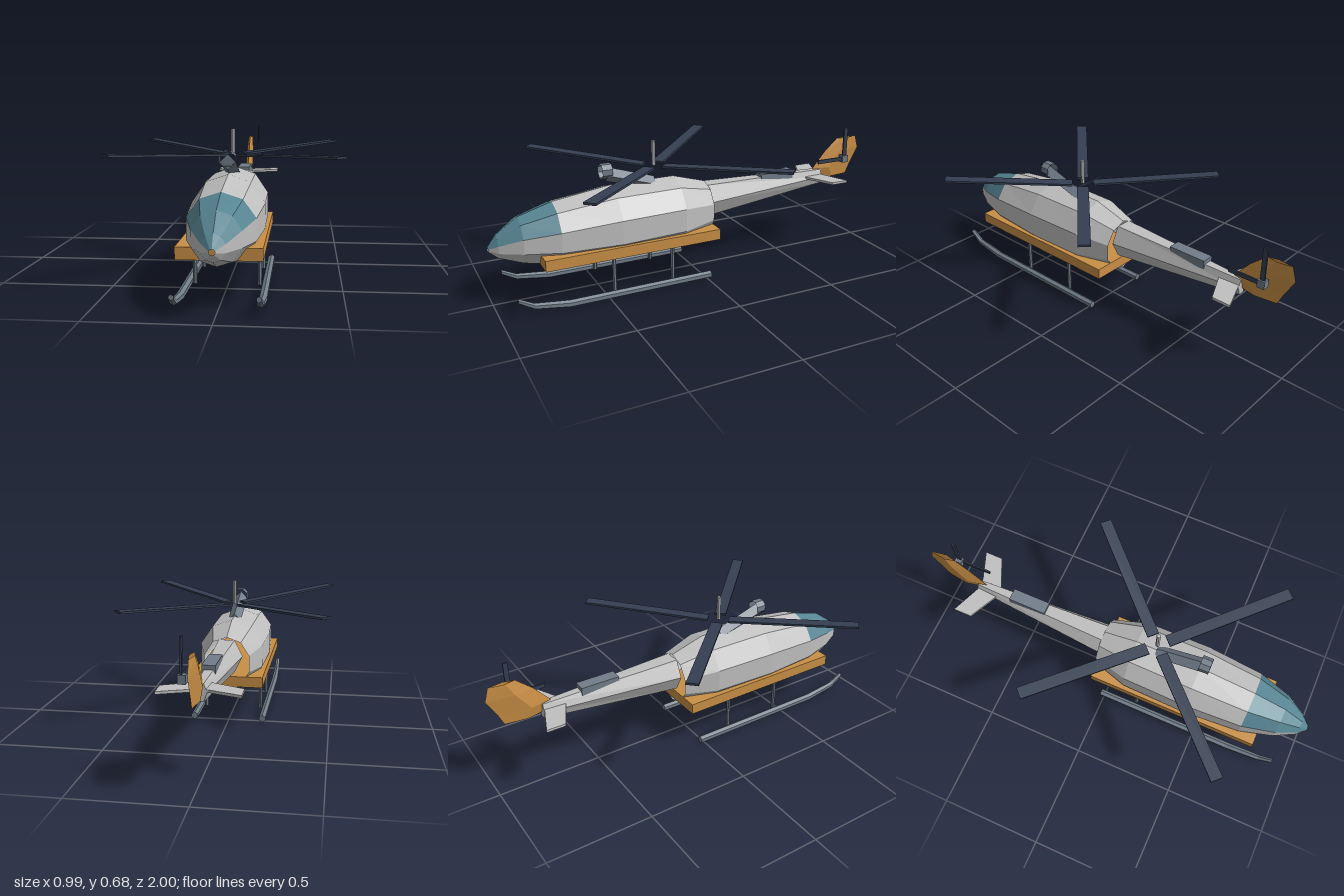
import * as THREE from 'three';

const mat = (name, color, side = THREE.DoubleSide) => {
  const m = new THREE.MeshStandardMaterial({ color, side, flatShading: true });
  m.name = name;
  return m;
};

// Flat-shaded skin over rings of [x, y, z]; pick(i, j) chooses the faces kept.
function loft(rings, { pick = () => true, capEnd = false } = {}) {
  const pos = [];
  const n = rings[0].length;
  for (let i = 0; i < rings.length - 1; i++) {
    for (let j = 0; j < n; j++) {
      if (!pick(i, j)) continue;
      const k = (j + 1) % n;
      const [a, b, c, d] = [rings[i][j], rings[i][k], rings[i + 1][k], rings[i + 1][j]];
      pos.push(...a, ...b, ...c, ...a, ...c, ...d);
    }
  }
  if (capEnd) {
    const r = rings[rings.length - 1];
    for (let j = 1; j < n - 1; j++) pos.push(...r[0], ...r[j], ...r[j + 1]);
  }
  const g = new THREE.BufferGeometry();
  g.setAttribute('position', new THREE.Float32BufferAttribute(pos, 3));
  g.computeVertexNormals();
  return g;
}

// Elliptical ring in the xy plane, first point at angle "start" from the top.
function ring(n, x, y, z, rx, ry, start = 0) {
  return Array.from({ length: n }, (_, j) => {
    const a = start + (j * 2 * Math.PI) / n;
    return [x + Math.sin(a) * rx, y + Math.cos(a) * ry, z];
  });
}

export function createModel() {
  const body = mat('light grey', 0xc0c0c0);
  const glass = mat('teal glass', 0x578593);
  const orange = mat('orange', 0xc98f45);
  const metal = mat('blue grey metal', 0x717d8a);
  const dark = mat('dark navy', 0x343f52);

  const model = new THREE.Group();
  model.name = 'helicopter';
  const add = (name, geometry, material, parent = model) => {
    const m = new THREE.Mesh(geometry, material);
    m.name = name;
    parent.add(m);
    return m;
  };
  const box = (name, w, h, d, x, y, z, material, parent) => {
    const m = add(name, new THREE.BoxGeometry(w, h, d), material, parent);
    m.position.set(x, y, z);
    return m;
  };

  // Ten-sided hull, open at both ends: [z, top, bottom, half width]
  const hull = [
    [1.0, 0.285, 0.262, 0.012], [0.96, 0.335, 0.225, 0.05], [0.86, 0.405, 0.185, 0.105],
    [0.7, 0.452, 0.15, 0.15], [0.42, 0.49, 0.125, 0.17], [0.1, 0.49, 0.135, 0.165],
    [-0.07, 0.44, 0.18, 0.115],
  ].map(([z, t, b, w]) => ring(10, 0, (t + b) / 2, z, w, (t - b) / 2));
  const isGlass = (i, j) => i < 3 && (j < 2 || j > 7);
  add('fuselage', loft(hull, { pick: (i, j) => !isGlass(i, j) }), body);
  add('canopy', loft(hull, { pick: isGlass }), glass);

  // Slab through the hull that forms both side sponsons
  box('sponsons', 0.35, 0.052, 0.86, 0, 0.219, 0.36, orange);

  // Tapered six-sided tail boom
  add('tailBoom', loft([
    ring(6, 0, 0.348, -0.07, 0.078, 0.092, Math.PI / 6),
    ring(6, 0, 0.373, -0.755, 0.027, 0.043, Math.PI / 6),
  ], { capEnd: true }), body);
  box('boomFairing', 0.06, 0.042, 0.19, 0, 0.414, -0.475, metal);

  // Swept stabilizer with both sides in one outline (shape y becomes -z)
  const plan = new THREE.Shape([
    [0, 0.64], [0.03, 0.652], [0.172, 0.72], [0.172, 0.81], [0.03, 0.755],
    [-0.03, 0.755], [-0.172, 0.81], [-0.172, 0.72], [-0.03, 0.652],
  ].map(([x, y]) => new THREE.Vector2(x, y)));
  const stab = add('stabilizer', new THREE.ExtrudeGeometry(plan, { depth: 0.012, bevelEnabled: false }), body);
  stab.rotation.x = -Math.PI / 2;
  stab.position.y = 0.374;

  // Lens-section tail fin, open at its ends: [y, front z, back z, half thickness]
  add('tailFin', loft([
    [0.363, -0.76, -0.93, 0.014], [0.415, -0.71, -0.953, 0.02],
    [0.5, -0.785, -1.0, 0.018], [0.565, -0.86, -0.98, 0.012],
  ].map(([y, f, b, t]) => {
    const m = f + (b - f) * 0.4;
    return [[0, y, f], [t, y, m], [0, y, b], [-t, y, m]];
  })), orange);

  // Tail rotor beside the fin
  const tailRotor = new THREE.Group();
  tailRotor.name = 'tailRotor';
  model.add(tailRotor);
  box('tailRotorHub', 0.032, 0.036, 0.036, 0.045, 0.463, -0.877, metal, tailRotor);
  box('tailRotorBladeUp', 0.008, 0.155, 0.022, 0.049, 0.552, -0.877, dark, tailRotor);
  box('tailRotorBladeForward', 0.008, 0.02, 0.15, 0.049, 0.463, -0.786, dark, tailRotor);

  // Main rotor: short mast and four raised blades
  const rotor = new THREE.Group();
  rotor.name = 'mainRotor';
  rotor.position.set(0, 0.555, 0.2);
  model.add(rotor);
  const mast = add('rotorMast', new THREE.CylinderGeometry(0.01, 0.01, 0.118, 6), body, rotor);
  mast.position.y = 0.061;
  for (let i = 0; i < 4; i++) {
    const arm = new THREE.Group();
    arm.name = 'rotorArm' + (i + 1);
    arm.rotation.y = Math.PI / 4 + (i * Math.PI) / 2;
    rotor.add(arm);
    const blade = box('rotorBlade', 0.622, 0.01, 0.056, 0.362, 0.018, 0, dark, arm);
    blade.rotation.z = 0.052;
  }

  // Roof intake: open ring on a sloping four-sided duct
  add('intakeRing', loft([ring(8, 0, 0.56, 0.465, 0.038, 0.036, Math.PI / 8),
    ring(8, 0, 0.56, 0.415, 0.038, 0.036, Math.PI / 8)]), metal);
  add('intakeDuct', loft([ring(4, 0, 0.47, 0.2, 0.033, 0.033),
    ring(4, 0, 0.545, 0.44, 0.035, 0.035)].reverse(), { capEnd: true }), metal);
  const ductFace = add('intakeDuctFace', new THREE.CircleGeometry(0.035, 4), metal);
  ductFace.position.set(0, 0.545, 0.44);

  // Skids: bent runner and two struts on each side
  for (const s of [1, -1]) {
    const skid = new THREE.Group();
    skid.name = s > 0 ? 'leftSkid' : 'rightSkid';
    model.add(skid);
    const rings = [[0.92, 0.078, 0.167, 0.012], [0.85, 0.04, 0.17, 0.015],
      [0.69, 0.018, 0.171, 0.018], [-0.02, 0.018, 0.171, 0.018]]
      .map(([z, y, x, r]) => ring(6, s * x, y, z, r, r));
    add('runner', loft(rings, { capEnd: true }), metal, skid);
    add('runnerTip', loft([rings[0].map(([x, y, z]) => [x, y, z - 0.001]), rings[0]].map((r) => r.slice().reverse()),
      { capEnd: true }), metal, skid);
    for (const z of [0.465, 0.17]) {
      const strut = add('strut', new THREE.CylinderGeometry(0.01, 0.01, 0.2, 6), metal, skid);
      strut.position.set(s * 0.142, 0.112, z);
    }
  }
  return model;
}
